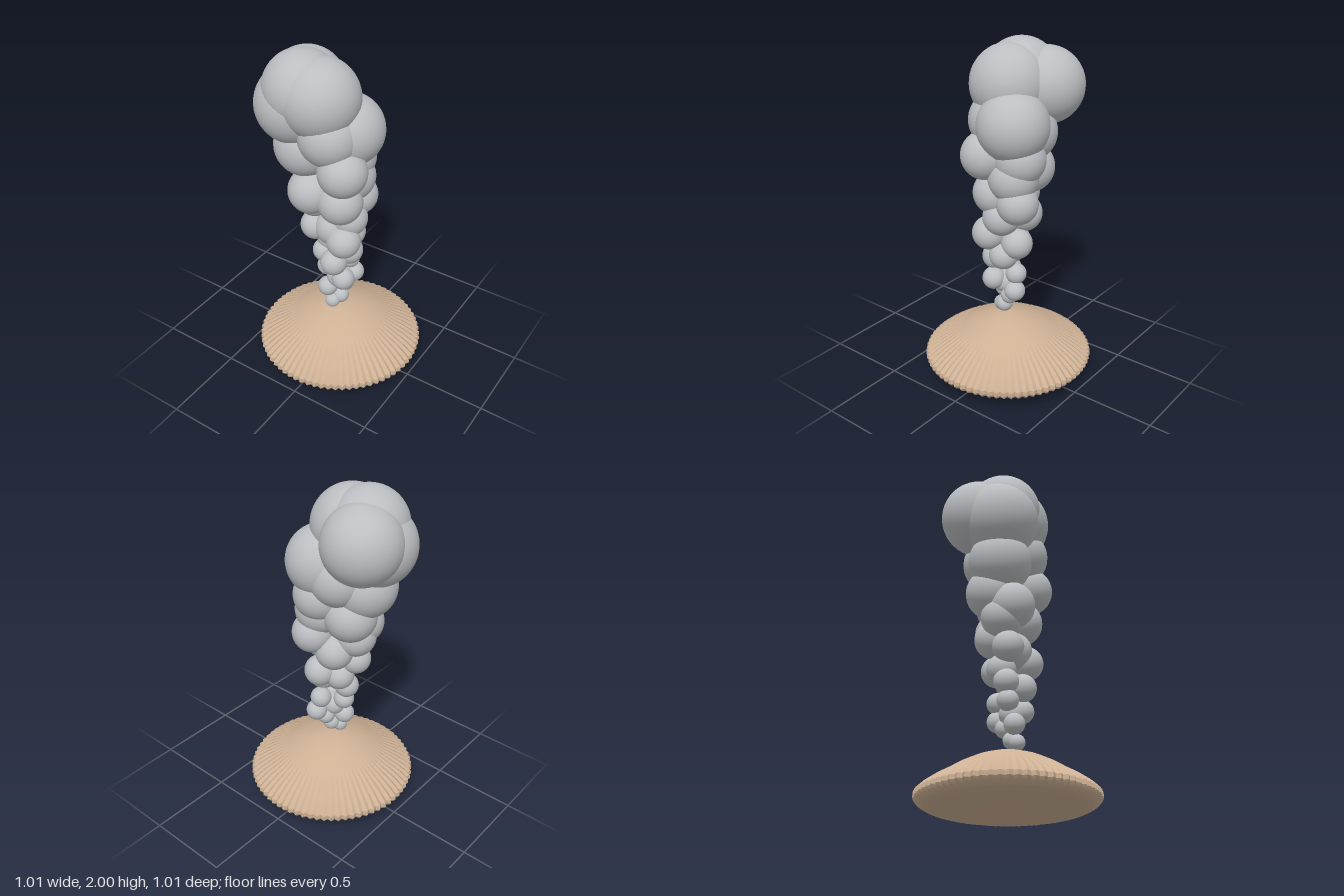
import * as THREE from 'three';
import { toCreasedNormals } from 'three/addons/utils/BufferGeometryUtils.js';

const tan = new THREE.MeshStandardMaterial({ color: 0xcdb195 });
tan.name = 'tan crust';
const grey = new THREE.MeshStandardMaterial({ color: 0xbcbfc2 });
grey.name = 'smoke grey';

// Fluted dome: a lathe whose radius alternates between ridge and groove
function createDome() {
  const flutes = 72;
  const profile = [
    [0, 0], [0.2, 0.025], [0.4, 0.05], [0.455, 0.065], [0.49, 0.085], [0.505, 0.105], [0.503, 0.13],
    [0.47, 0.16], [0.42, 0.195], [0.36, 0.23], [0.28, 0.28], [0.2, 0.32], [0.1, 0.355], [0, 0.375],
  ].map(([r, y]) => new THREE.Vector2(r, y));
  const geometry = new THREE.LatheGeometry(profile, flutes * 2);
  const p = geometry.attributes.position;
  for (let i = 0; i < p.count; i++) {
    const column = Math.floor(i / profile.length);
    if (column % 2 === 0) continue;
    const r = Math.hypot(p.getX(i), p.getZ(i));
    const k = 1 - 0.035 * Math.min(1, r / 0.5);
    p.setX(i, p.getX(i) * k);
    p.setZ(i, p.getZ(i) * k);
  }
  const mesh = new THREE.Mesh(toCreasedNormals(geometry, 0.5), tan);
  mesh.name = 'flutedDome';
  return mesh;
}

// Smoke puffs: x, y, z, radius, grouped from the vent up to the crown
const puffTiers = {
  ventPuffs: [
    [-0.015, 0.41, 0.06, 0.046], [0.015, 0.435, 0.015, 0.05],
    [-0.05, 0.505, 0.06, 0.06], [0.02, 0.51, -0.03, 0.055],
    [0.045, 0.565, -0.085, 0.062], [0.06, 0.61, 0.06, 0.068],
    [-0.07, 0.64, 0.03, 0.062], [0.02, 0.665, -0.075, 0.062], [0, 0.58, 0.02, 0.07],
  ],
  lowerPuffs: [
    [-0.09, 0.745, 0.03, 0.072], [0.01, 0.73, 0.085, 0.08],
    [0.055, 0.78, -0.01, 0.085], [-0.07, 0.83, -0.01, 0.085],
    [0.02, 0.86, -0.08, 0.092], [0.075, 0.905, 0.08, 0.1],
    [-0.13, 0.935, 0.06, 0.09], [-0.02, 0.95, 0.04, 0.11],
  ],
  middlePuffs: [
    [0.06, 1.02, 0, 0.11], [-0.07, 1.02, -0.06, 0.11],
    [-0.15, 1.11, 0.03, 0.12], [0.05, 1.12, -0.105, 0.12],
    [0.04, 1.15, 0.06, 0.13], [-0.14, 1.18, 0.085, 0.135],
    [-0.16, 1.27, -0.03, 0.15], [0.03, 1.26, -0.06, 0.145],
  ],
  upperPuffs: [
    [0.01, 1.37, -0.09, 0.148], [0.08, 1.375, 0.1, 0.14],
    [-0.2, 1.44, 0.04, 0.182], [-0.02, 1.56, 0.08, 0.172],
    [0.02, 1.555, -0.05, 0.205], [-0.1, 1.5, -0.06, 0.17],
  ],
  crownPuffs: [
    [-0.25, 1.685, 0.06, 0.225], [-0.26, 1.735, -0.07, 0.22],
    [-0.2, 1.78, 0.06, 0.22], [-0.09, 1.755, 0.06, 0.225],
  ],
};

export function createModel() {
  const model = new THREE.Group();
  model.name = 'smokingDome';
  model.add(createDome());

  const plume = new THREE.Group();
  plume.name = 'smokePlume';
  const sphere = new THREE.SphereGeometry(1, 40, 28);
  for (const [name, puffs] of Object.entries(puffTiers)) {
    const tier = new THREE.Group();
    tier.name = name;
    for (const [x, y, z, r] of puffs) {
      const puff = new THREE.Mesh(sphere, grey);
      puff.name = 'puff';
      puff.position.set(x, y, z);
      puff.scale.setScalar(r);
      tier.add(puff);
    }
    plume.add(tier);
  }
  model.add(plume);
  return model;
}
